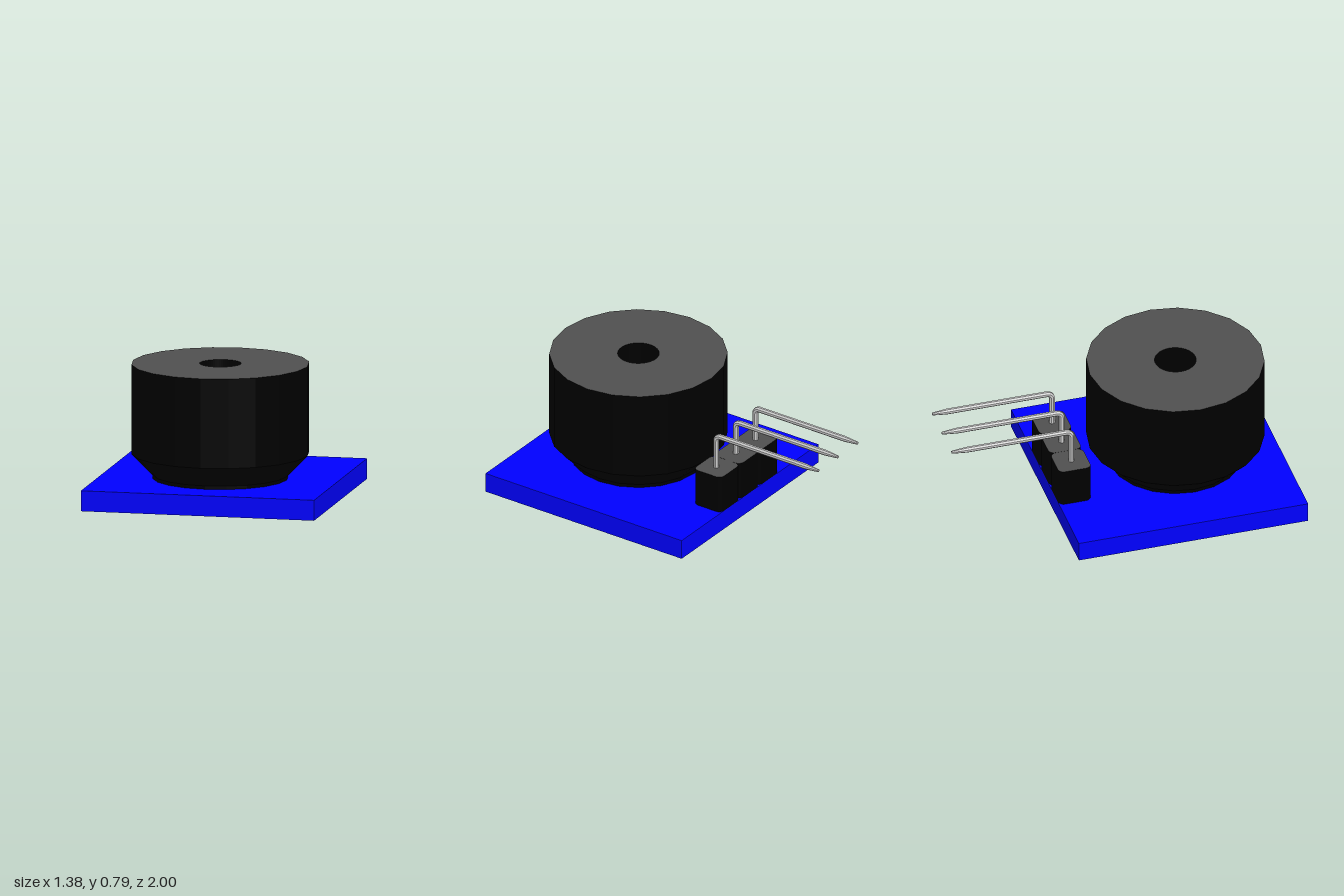
import * as THREE from 'three';

const mat = (color) => new THREE.MeshStandardMaterial({ color, flatShading: true });

function addMesh(parent, name, geometry, material) {
  const mesh = new THREE.Mesh(geometry, material);
  mesh.name = name;
  parent.add(mesh);
  return mesh;
}

// Extrude a plan shape upwards from y0 to y1
function upright(shape, y0, y1, curveSegments) {
  const g = new THREE.ExtrudeGeometry(shape, { depth: y1 - y0, bevelEnabled: false, curveSegments });
  return g.rotateX(-Math.PI / 2).translate(0, y0, 0);
}

function roundedRect(w, d, r) {
  const x = w / 2, y = d / 2, s = new THREE.Shape();
  s.absarc(x - r, y - r, r, 0, Math.PI / 2);
  s.absarc(-x + r, y - r, r, Math.PI / 2, Math.PI);
  s.absarc(-x + r, -y + r, r, Math.PI, Math.PI * 1.5);
  s.absarc(x - r, -y + r, r, Math.PI * 1.5, Math.PI * 2);
  s.closePath();
  return s;
}

// Bent octagonal pin: rings along a path that rises, turns to -z and tapers
function pinGeometry() {
  const R = 0.0173, bend = 0.03, sides = 8;
  const rings = [[0.14, -0.28, 0, R]];
  for (let i = 0; i <= 4; i++) {
    const t = (i / 4) * Math.PI / 2;
    rings.push([0.525 + bend * Math.sin(t), -0.31 + bend * Math.cos(t), t, R]);
  }
  const q = Math.PI / 2;
  rings.push([0.555, -0.91, q, R], [0.555, -1, q, R * 0.5], [0.555, -1, q, 0]);
  const pos = [], index = [];
  rings.forEach(([y, z, t, r], i) => {
    for (let j = 0; j < sides; j++) {
      const a = ((j + 0.5) / sides) * Math.PI * 2, n = r * Math.sin(a);
      pos.push(r * Math.cos(a), y + n * Math.sin(t), z + n * Math.cos(t));
      if (i === rings.length - 1) continue;
      const k = (j + 1) % sides, p = i * sides, u = p + sides;
      index.push(p + j, u + j, p + k, p + k, u + j, u + k);
    }
  });
  const g = new THREE.BufferGeometry();
  g.setAttribute('position', new THREE.Float32BufferAttribute(pos, 3));
  g.setIndex(index);
  g.computeVertexNormals();
  return g;
}

export function createModel() {
  const model = new THREE.Group();
  model.name = 'buzzerModule';
  const blue = mat(0x0000ff), black = mat(0x000000), dark = mat(0x505050), metal = mat(0xcccccc);

  // Circuit board
  addMesh(model, 'board', new THREE.BoxGeometry(1.38, 0.12, 1.38), blue).position.set(0, 0.06, 0.31);

  // Buzzer: twenty-sided can with a sound hole, on a narrowing skirt
  const buzzer = new THREE.Group();
  buzzer.name = 'buzzer';
  buzzer.position.z = 0.405;
  model.add(buzzer);
  const radius = 0.515, hole = 0.12;
  const outline = new THREE.Shape();
  for (let i = 0; i < 20; i++) {
    const a = (i / 20) * Math.PI * 2;
    outline[i ? 'lineTo' : 'moveTo'](radius * Math.cos(a), radius * Math.sin(a));
  }
  outline.closePath();
  outline.holes.push(new THREE.Path().absarc(0, 0, hole, 0, Math.PI * 2, true));
  addMesh(buzzer, 'buzzerCan', upright(outline, 0.265, 0.79, 32), [dark, black]);

  const skirt = [[0.393, 0.12], [0.393, 0.14], [radius, 0.265]].map(([x, y]) => new THREE.Vector2(x, y));
  addMesh(buzzer, 'buzzerSkirt', new THREE.LatheGeometry(skirt, 20), black);
  addMesh(buzzer, 'holeLining',
    new THREE.CylinderGeometry(hole, hole, 0.145, 32, 1, true).translate(0, 0.1925, 0),
    new THREE.MeshStandardMaterial({ color: 0x000000, side: THREE.BackSide }));

  // Half-round metal plate across the back half of the sound hole
  const half = new THREE.Shape().absarc(0, 0, hole, 0, Math.PI);
  half.closePath();
  addMesh(buzzer, 'holePlate', upright(half, 0.45, 0.48, 16), metal);

  // Three header blocks, each with a bent pin
  const block = upright(roundedRect(0.196, 0.195, 0.035), 0.12, 0.35, 4);
  const pin = pinGeometry();
  for (const i of [-1, 0, 1]) {
    const unit = new THREE.Group();
    unit.name = ['rightPin', 'middlePin', 'leftPin'][i + 1];
    unit.position.x = i * 0.197;
    model.add(unit);
    addMesh(unit, 'headerBlock', block, [dark, black]).position.z = -0.2825;
    addMesh(unit, 'bentPin', pin, metal);
  }
  return model;
}
